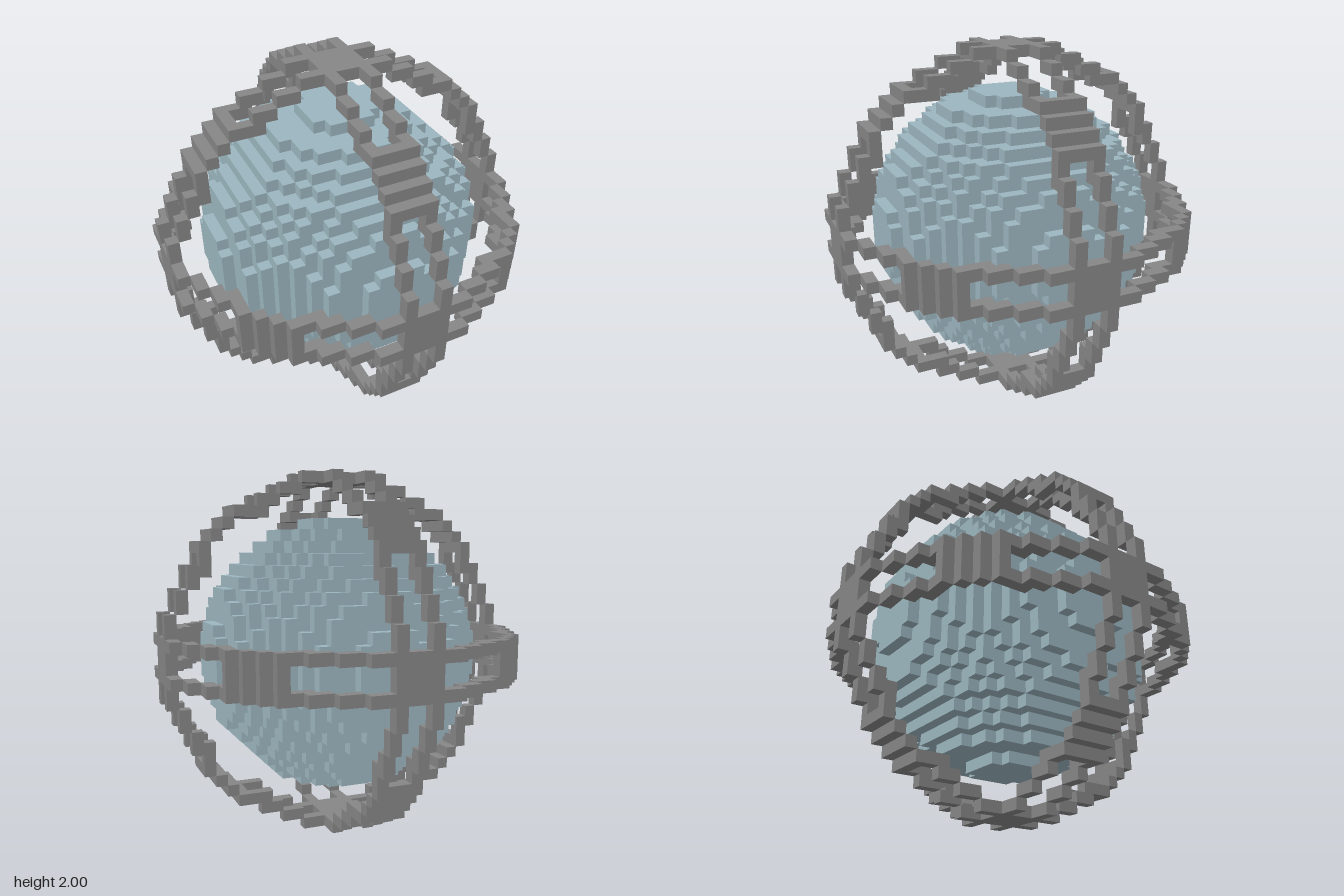
import * as THREE from 'three';

const HALF = 16;              // the grid is 32 cells wide
const CELL = 1 / HALF;
const CORE_RADIUS = 12;       // in cells

// Distance of a cell from the centre planes: 0 is the innermost cell
const fold = (c) => (c < 0 ? -1 - c : c);

// One eighth of the stepped hoop: [row, first column, last column], mirrored about the diagonal
const HOOP_STEPS = [[15, 0, 3], [14, 4, 5], [13, 6, 7], [12, 7, 9], [11, 10, 10]];
const onHoop = (a, b) => HOOP_STEPS.some(([row, first, last]) =>
  (a === row && b >= first && b <= last) || (b === row && a >= first && a <= last));

// A hoop is two rails, joined by plates on the diagonals and at the crossings
function hoopCell(u, v, w) {
  const a = fold(u), b = fold(v), side = fold(w);
  if (side > 1 || !onHoop(a, b)) return false;
  const diagonalPlate = Math.min(a, b) >= 9;
  const crossingPlate = Math.min(a, b) <= 1;
  return side === 1 || diagonalPlate || crossingPlate;
}

const hoops = {
  frontHoop: (x, y, z) => hoopCell(x, y, z),
  sideHoop: (x, y, z) => hoopCell(y, z, x),
  levelHoop: (x, y, z) => hoopCell(z, x, y),
};
const cageCell = (x, y, z) => Object.values(hoops).some((test) => test(x, y, z));

const coreCell = (x, y, z) =>
  [x, y, z].reduce((sum, c) => sum + (c + 0.5) ** 2, 0) <= CORE_RADIUS ** 2;

// Builds the outer faces of all cells in a part; faces against a solid neighbour are left out
function blockGeometry(inPart, isSolid) {
  const positions = [], normals = [], indices = [];
  const addFace = (cell, axis, sign) => {
    const u = (axis + 1) % 3, v = (axis + 2) % 3;
    const base = positions.length / 3;
    for (const [du, dv] of [[0, 0], [1, 0], [1, 1], [0, 1]]) {
      const p = [...cell];
      if (sign > 0) p[axis] += 1;
      p[u] += du;
      p[v] += dv;
      positions.push(p[0] * CELL, p[1] * CELL + 1, p[2] * CELL);
      const n = [0, 0, 0];
      n[axis] = sign;
      normals.push(...n);
    }
    const order = sign > 0 ? [0, 1, 2, 0, 2, 3] : [0, 2, 1, 0, 3, 2];
    indices.push(...order.map((k) => base + k));
  };

  for (let x = -HALF; x < HALF; x++)
    for (let y = -HALF; y < HALF; y++)
      for (let z = -HALF; z < HALF; z++) {
        if (!inPart(x, y, z)) continue;
        for (let axis = 0; axis < 3; axis++)
          for (const sign of [-1, 1]) {
            const next = [x, y, z];
            next[axis] += sign;
            if (!isSolid(...next)) addFace([x, y, z], axis, sign);
          }
      }

  const geometry = new THREE.BufferGeometry();
  geometry.setAttribute('position', new THREE.Float32BufferAttribute(positions, 3));
  geometry.setAttribute('normal', new THREE.Float32BufferAttribute(normals, 3));
  geometry.setIndex(indices);
  return geometry;
}

export function createModel() {
  const model = new THREE.Group();
  model.name = 'cagedOrb';

  const paleBlue = new THREE.MeshStandardMaterial({ color: 0x9cb6bf });
  paleBlue.name = 'pale blue';
  const grey = new THREE.MeshStandardMaterial({ color: 0x868686 });
  grey.name = 'grey';

  const addPart = (name, geometry, material, parent) => {
    const mesh = new THREE.Mesh(geometry, material);
    mesh.name = name;
    parent.add(mesh);
  };

  // Stepped ball in the middle
  addPart('core', blockGeometry(coreCell, coreCell), paleBlue, model);

  // Three crossing hoops; a shared cell belongs to the first hoop that has it
  const cage = new THREE.Group();
  cage.name = 'cage';
  const tests = Object.values(hoops);
  Object.entries(hoops).forEach(([name, test], i) => {
    const ownCell = (x, y, z) =>
      test(x, y, z) && !tests.slice(0, i).some((earlier) => earlier(x, y, z));
    addPart(name, blockGeometry(ownCell, cageCell), grey, cage);
  });
  model.add(cage);

  return model;
}
